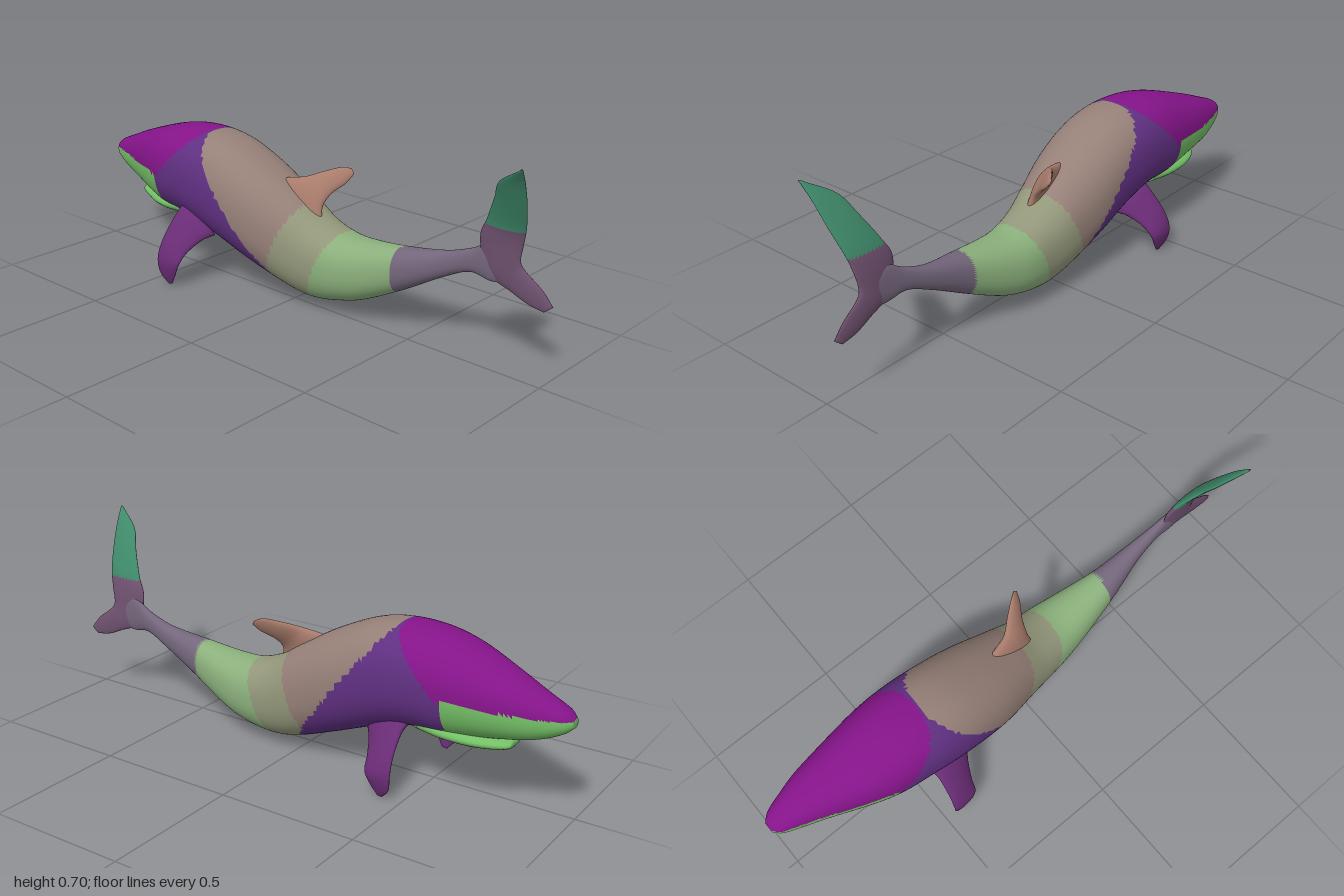
import * as THREE from 'three';

const V = (x, y, z) => new THREE.Vector3(x, y, z);

// Smooth closed loft. Station: [lead x,y,z, trail x,y,z, half thickness]
function loft(stations, rings, sides, roundness = 1) {
  const lead = new THREE.CatmullRomCurve3(stations.map(s => V(s[0], s[1], s[2])), false, 'catmullrom');
  const trail = new THREE.CatmullRomCurve3(stations.map(s => V(s[3], s[4], s[5])), false, 'catmullrom');
  const thick = new THREE.CatmullRomCurve3(stations.map(s => V(s[6], 0, 0)), false, 'catmullrom');
  const mid = t => lead.getPoint(t).add(trail.getPoint(t)).multiplyScalar(0.5);
  const pow = v => Math.sign(v) * Math.abs(v) ** roundness;
  const pos = [], index = [];
  for (let i = -1; i <= rings + 1; i++) {
    const t = THREE.MathUtils.clamp(i / rings, 0, 1);
    const c = mid(t);
    const span = mid(Math.min(1, t + 0.01)).sub(mid(Math.max(0, t - 0.01)));
    const a = lead.getPoint(t).sub(c);
    const b = a.clone().cross(span).normalize().multiplyScalar(thick.getPoint(t).x);
    const open = i < 0 || i > rings ? 0 : 1; // the end rings collapse to a point
    for (let j = 0; j < sides; j++) {
      const q = j / sides * Math.PI * 2;
      const p = c.clone().addScaledVector(a, open * pow(Math.cos(q))).addScaledVector(b, open * pow(Math.sin(q)));
      pos.push(p.x, p.y, p.z);
    }
  }
  for (let i = 0; i < rings + 2; i++) {
    for (let j = 0; j < sides; j++) {
      const k = (j + 1) % sides, r = i * sides, n = r + sides;
      index.push(r + j, n + j, r + k, r + k, n + j, n + k);
    }
  }
  const g = new THREE.BufferGeometry();
  g.setAttribute('position', new THREE.Float32BufferAttribute(pos, 3));
  g.setIndex(index);
  g.computeVertexNormals();
  return g;
}

function mesh(name, geometry, color) {
  const m = new THREE.Mesh(geometry, new THREE.MeshStandardMaterial({ color }));
  m.name = name;
  return m;
}

// Splits a surface into coloured areas, keeping its shared smooth normals
function patches(geometry, colors, areaAt) {
  const p = geometry.attributes.position, idx = geometry.index.array, lists = {};
  for (let i = 0; i < idx.length; i += 3) {
    const f = [idx[i], idx[i + 1], idx[i + 2]];
    const avg = get => f.reduce((s, k) => s + get(k) / 3, 0);
    const area = areaAt(avg(k => p.getX(k)), avg(k => p.getY(k)));
    (lists[area] ??= []).push(...f);
  }
  return Object.entries(lists).map(([area, list]) => {
    const g = new THREE.BufferGeometry();
    g.setAttribute('position', p);
    g.setAttribute('normal', geometry.attributes.normal);
    g.setIndex(list);
    return mesh(area, g, colors[area]);
  });
}

// Upright body section: x, top, bottom, centre z, half width
const upright = ([x, top, bottom, z, w]) => [x, top, z, x, bottom, z, w];

export function createModel() {
  const model = new THREE.Group();
  model.name = 'whale';

  // Body from snout to tail stalk
  const body = new THREE.Group();
  body.name = 'body';
  const bodyShape = loft([
    [-1, 0.365, 0.335, -0.06, 0.02], [-0.97, 0.39, 0.31, -0.06, 0.045],
    [-0.9, 0.42, 0.277, -0.06, 0.07], [-0.8, 0.46, 0.25, -0.055, 0.1],
    [-0.6, 0.525, 0.21, -0.03, 0.15], [-0.45, 0.545, 0.2, -0.02, 0.165],
    [-0.3, 0.53, 0.155, -0.015, 0.167], [-0.15, 0.47, 0.098, -0.02, 0.16],
    [0, 0.385, 0.045, -0.03, 0.135], [0.1, 0.32, 0.03, -0.035, 0.12],
    [0.2, 0.285, 0.045, -0.04, 0.11], [0.3, 0.283, 0.075, -0.04, 0.092],
    [0.45, 0.3, 0.15, -0.04, 0.06], [0.6, 0.325, 0.235, -0.05, 0.032],
    [0.7, 0.36, 0.28, -0.05, 0.02], [0.78, 0.4, 0.272, -0.047, 0.014],
    [0.86, 0.35, 0.285, -0.05, 0.006],
  ].map(upright), 160, 64, 0.88);
  body.add(...patches(bodyShape, {
    head: 0x85148a, lowerHead: 0x74bf66, chest: 0x603082, back: 0x968078,
    flank: 0x93977a, rear: 0x8bb07c, tailStalk: 0x74667c,
  }, (x, y) => {
    if (y < 0.36 && x < -0.6) return 'lowerHead';
    if (y >= 0.36 && x < -0.58 + (y - 0.36)) return 'head';
    if (x < -0.39 + (0.54 - y) * 0.78) return 'chest';
    if (x < -0.1 + y * 0.4) return 'back';
    if (x < 0.08 + y * 0.4) return 'flank';
    return x < 0.44 ? 'rear' : 'tailStalk';
  }));
  model.add(body);

  // Lower jaw, parted slightly from the snout
  model.add(mesh('lowerJaw', loft([
    [-0.81, 0.24, 0.225, -0.05, 0.03], [-0.79, 0.25, 0.212, -0.05, 0.06],
    [-0.7, 0.26, 0.2, -0.045, 0.095], [-0.6, 0.27, 0.197, -0.03, 0.115],
    [-0.5, 0.28, 0.2, -0.02, 0.11],
  ].map(upright), 24, 32), 0x74bf66));

  // Dorsal fin, bent over to one side
  model.add(mesh('dorsalFin', loft([
    [-0.1, 0.4, -0.02, 0.11, 0.28, -0.025, 0.026],
    [-0.07, 0.425, -0.03, 0.095, 0.325, -0.03, 0.024],
    [0, 0.44, -0.05, 0.09, 0.36, -0.045, 0.021],
    [0.05, 0.46, -0.09, 0.1, 0.395, -0.08, 0.016],
    [0.1, 0.477, -0.13, 0.125, 0.425, -0.12, 0.01],
    [0.125, 0.472, -0.15, 0.137, 0.455, -0.15, 0.004],
  ], 30, 28), 0xa97c6c));

  // Flippers, curving out and down; the right one is rooted a little lower
  for (const [name, side, drop] of [['frontFlipper', 1, 0], ['backFlipper', -1, 0.03]]) {
    model.add(mesh(name, loft([
      [-0.46, 0.27, 0.11, -0.3, 0.19, 0.1, 0.03],
      [-0.455, 0.24, 0.15, -0.33, 0.17, 0.14, 0.024],
      [-0.46, 0.17, 0.205, -0.355, 0.13, 0.19, 0.018],
      [-0.465, 0.1, 0.232, -0.365, 0.09, 0.222, 0.013],
      [-0.46, 0.04, 0.228, -0.385, 0.045, 0.222, 0.009],
      [-0.43, 0, 0.216, -0.41, 0.004, 0.216, 0.004],
    ].map(([a, b, c, d, e, f, w]) =>
      [a, b - drop * b * 4, c * side, d, e - drop * e * 4, f * side, w]), 30, 28), 0x6a2c76));
  }

  // Tail flukes: a short lower lobe and a long upper lobe leaning sideways
  const fluke = loft([
    [0.965, 0.22, 0.995, 0.245, -0.055, 0.005],
    [0.91, 0.23, 0.955, 0.29, -0.054, 0.008],
    [0.85, 0.255, 0.895, 0.335, -0.051, 0.011],
    [0.76, 0.3, 0.88, 0.365, -0.045, 0.014],
    [0.735, 0.41, 0.89, 0.42, -0.039, 0.015],
    [0.765, 0.48, 0.905, 0.48, -0.025, 0.014],
    [0.81, 0.565, 0.925, 0.56, 0.012, 0.012],
    [0.85, 0.635, 0.94, 0.64, 0.053, 0.008],
    [0.94, 0.694, 0.952, 0.7, 0.094, 0.003],
  ].map(([a, b, c, d, z, w]) => [a, b, z, c, d, z, w]), 60, 28);
  const tail = new THREE.Group();
  tail.name = 'tailFlukes';
  tail.add(...patches(fluke, { flukeBase: 0x705270, flukeTip: 0x3f8a6a },
    (x, y) => y < 0.465 ? 'flukeBase' : 'flukeTip'));
  model.add(tail);

  return model;
}
